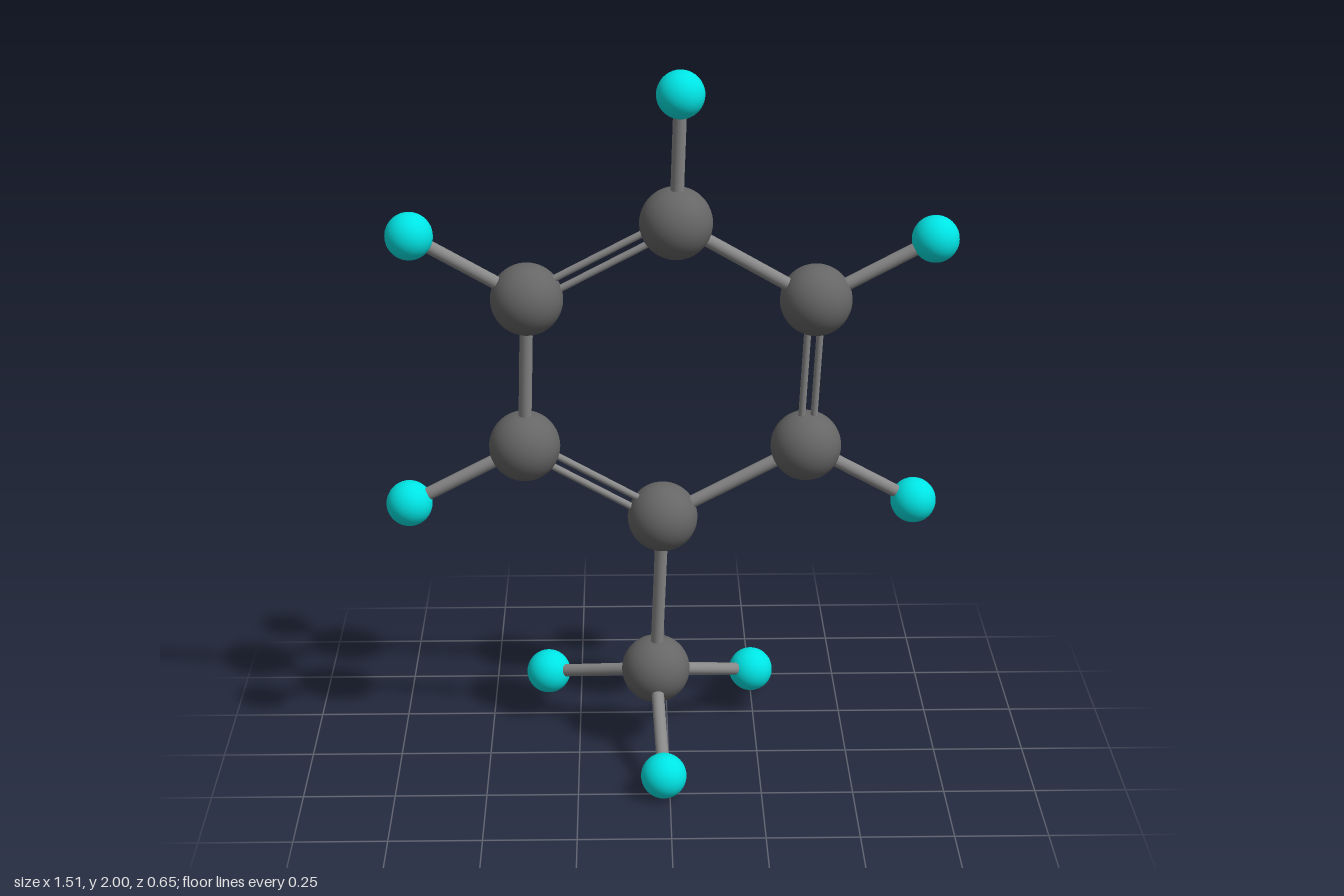
import * as THREE from 'three';

const V = (x, y, z) => new THREE.Vector3(x, y, z);

// Six ring atoms (counter-clockwise from the bottom) and the stem atom
const ring = [
  V(-0.016, 0.727, 0.02), V(0.37, 0.935, 0.028), V(0.385, 1.365, 0.093),
  V(0.017, 1.59, 0.147), V(-0.37, 1.385, 0.138), V(-0.385, 0.955, 0.073),
];
const stem = V(-0.034, 0.235, -0.057);

// Small outer atoms: on ring atoms 1 to 5, then on the stem atom
const ringTips = [
  V(0.67, 0.755, -0.02), V(0.692, 1.53, 0.097), V(0.027, 1.938, 0.2),
  V(-0.666, 1.568, 0.18), V(-0.698, 0.79, 0.068),
];
const stemTips = [V(-0.34, 0.148, -0.227), V(0.243, 0.133, -0.262), V(-0.017, 0.064, 0.262)];

export function createModel() {
  const model = new THREE.Group();
  model.name = 'ballAndStickModel';

  const dark = new THREE.MeshStandardMaterial({ color: 0x666666 });
  const cyan = new THREE.MeshStandardMaterial({ color: 0x00e5e5 });
  const rodGrey = new THREE.MeshStandardMaterial({ color: 0x888888 });
  const largeBall = new THREE.SphereGeometry(0.095, 40, 28);
  const smallBall = new THREE.SphereGeometry(0.062, 32, 24);

  const addBall = (name, geometry, material, position) => {
    const ball = new THREE.Mesh(geometry, material);
    ball.name = name;
    ball.position.copy(position);
    model.add(ball);
  };

  // Cylinder running between two points
  const addRod = (name, a, b, radius = 0.0175) => {
    const dir = b.clone().sub(a);
    const rod = new THREE.Mesh(new THREE.CylinderGeometry(radius, radius, dir.length(), 20), rodGrey);
    rod.name = name;
    rod.position.copy(a).add(b).multiplyScalar(0.5);
    rod.quaternion.setFromUnitVectors(V(0, 1, 0), dir.normalize());
    model.add(rod);
  };

  // Ring: single rods alternate with pairs of thin rods lying in the ring plane
  const normal = ring[2].clone().sub(ring[0]).cross(ring[4].clone().sub(ring[0])).normalize();
  ring.forEach((a, i) => {
    const b = ring[(i + 1) % 6];
    addBall('ringAtom', largeBall, dark, a);
    if (i % 2 === 0) {
      addRod('singleBond', a, b);
    } else {
      const side = b.clone().sub(a).cross(normal).normalize();
      for (const s of [-0.0165, 0.0165]) {
        addRod('doubleBondRod', a.clone().addScaledVector(side, s), b.clone().addScaledVector(side, s), 0.0095);
      }
    }
  });

  // Stem below the ring
  addBall('stemAtom', largeBall, dark, stem);
  addRod('stemBond', ring[0], stem);

  // Outer atoms and their rods
  const addTip = (base, tip) => {
    addBall('outerAtom', smallBall, cyan, tip);
    addRod('outerBond', base, tip);
  };
  ringTips.forEach((tip, i) => addTip(ring[i + 1], tip));
  stemTips.forEach((tip) => addTip(stem, tip));

  return model;
}
